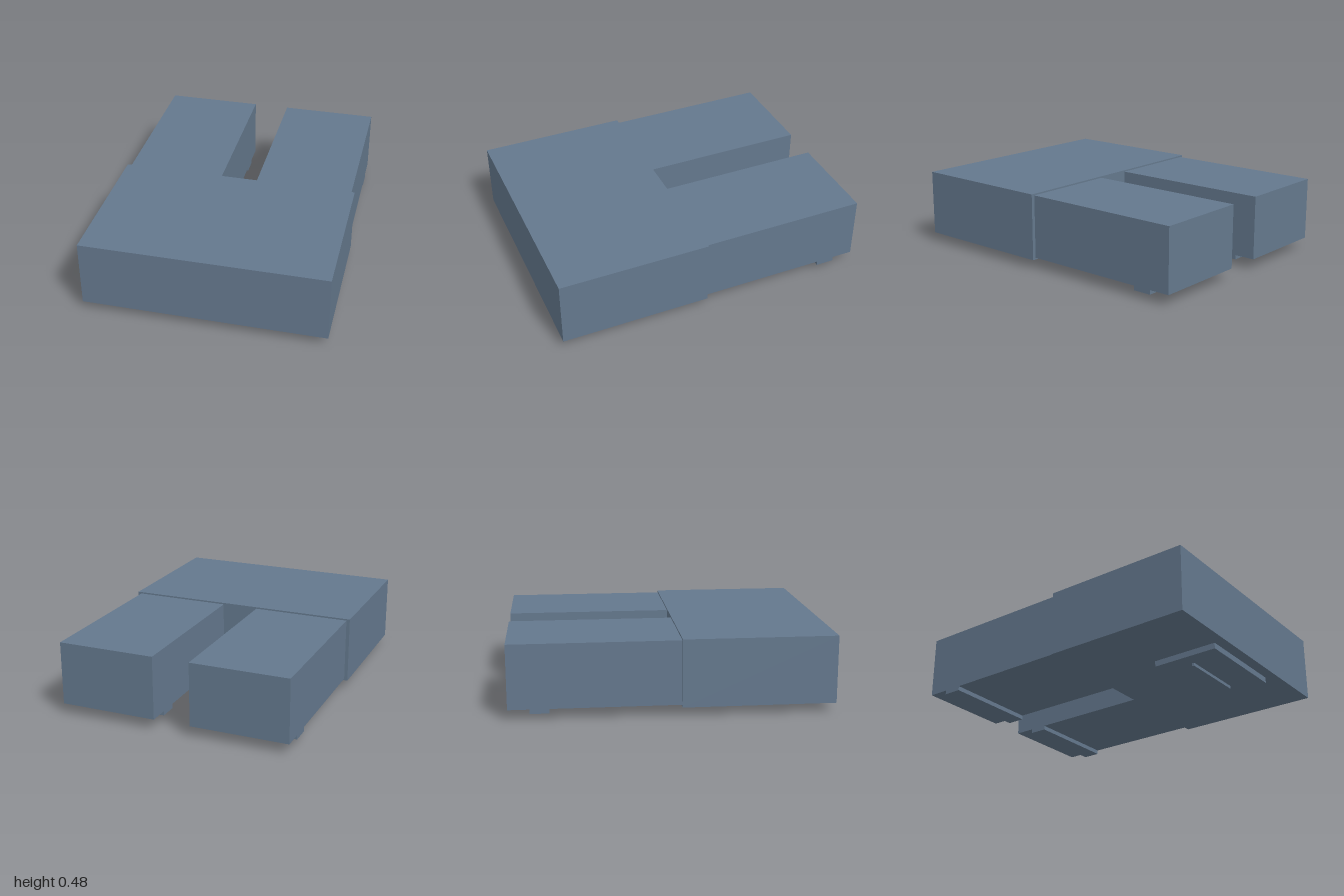
import * as THREE from 'three';

export function createModel() {
  const model = new THREE.Group();
  const slate = new THREE.MeshStandardMaterial({ color: 0x64788d });
  slate.name = 'slate';

  // Box given by its lower and upper corners
  function block(name, [x0, y0, z0], [x1, y1, z1]) {
    const mesh = new THREE.Mesh(new THREE.BoxGeometry(x1 - x0, y1 - y0, z1 - z0), slate);
    mesh.position.set((x0 + x1) / 2, (y0 + y1) / 2, (z0 + z1) / 2);
    mesh.name = name;
    model.add(mesh);
  }

  // Wide front body with a raised pad and thin ridge underneath
  block('body', [-0.762, 0.057, 0.05], [0.762, 0.48, 1]);
  block('undersidePad', [-0.308, 0.02, 0.503], [0.308, 0.057, 0.93]);
  block('undersideRidge', [-0.215, 0, 0.711], [0.215, 0.02, 0.725]);

  // Two rear arms, each with a crosswise foot bar
  for (const [side, inner, outer] of [['left', 0.118, 0.74], ['right', -0.74, -0.118]]) {
    block(side + 'Arm', [inner, 0.068, -1], [outer, 0.47, 0.05]);
    block(side + 'FootBar', [inner, 0.04, -0.868], [outer, 0.068, -0.75]);
  }
  return model;
}
